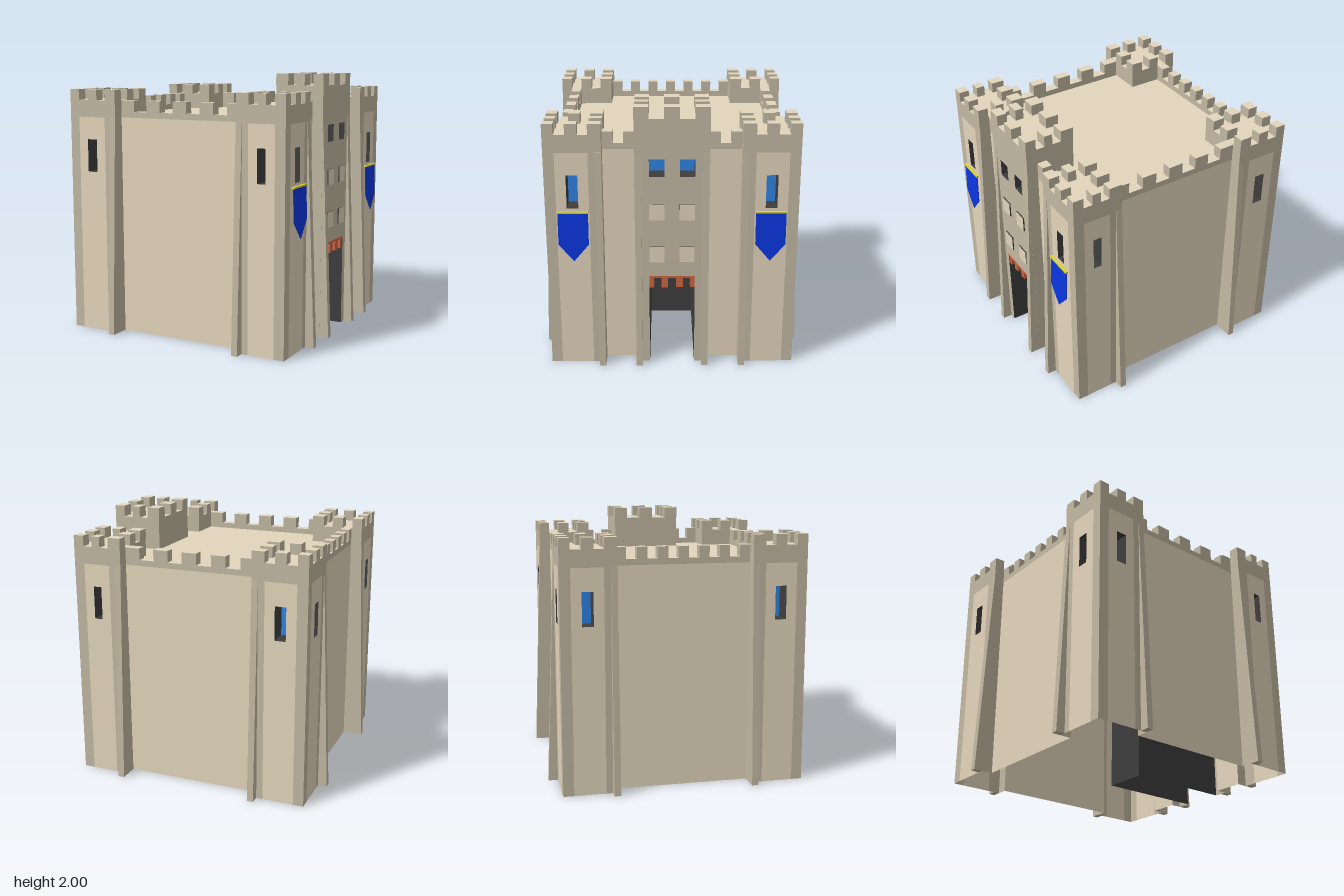
import * as THREE from 'three';

const mat = (color) => new THREE.MeshStandardMaterial({ color, side: THREE.DoubleSide, flatShading: true });

export function createModel() {
  const stone = mat(0xe3d5bb), trim = mat(0xc2b8a2), dark = mat(0x3d3d3d), sky = mat(0x3082e2);
  const rust = mat(0xcc6542), blue = mat(0x0c36e0), gold = mat(0xdcd236);
  const topped = [trim, trim, stone, stone, trim, trim];
  const castle = new THREE.Group();
  castle.name = 'castle';

  const add = (parent, name, geometry, material) => {
    const mesh = new THREE.Mesh(geometry, material);
    mesh.name = name;
    parent.add(mesh);
    return mesh;
  };
  // Box given by its limits on each axis
  const block = (parent, name, [x0, x1], [y0, y1], [z0, z1], material) => {
    const g = new THREE.BoxGeometry(x1 - x0, y1 - y0, z1 - z0);
    g.translate((x0 + x1) / 2, (y0 + y1) / 2, (z0 + z1) / 2);
    return add(parent, name, g, material);
  };
  // Flat polygon at depth d, with optional rectangular holes [u0, u1, v0, v1]
  const corners = ([u0, u1, v0, v1]) => [[u0, v0], [u1, v0], [u1, v1], [u0, v1]].map((p) => new THREE.Vector2(...p));
  const sheet = (parent, name, points, d, material, holes = []) => {
    const shape = new THREE.Shape(points);
    holes.forEach((h) => shape.holes.push(new THREE.Path(corners(h).reverse())));
    return add(parent, name, new THREE.ShapeGeometry(shape).translate(0, 0, d), material);
  };
  // Recess lined with dark walls; faces listed in skip are left open
  const recess = (parent, name, [u0, u1, v0, v1], d0, d1, skip) => {
    const g = new THREE.BoxGeometry(u1 - u0, v1 - v0, d1 - d0);
    const index = Array.from(g.index.array).filter((_, i) => !skip.includes(Math.floor(i / 6)));
    g.clearGroups();
    g.setIndex(index);
    g.translate((u0 + u1) / 2, (v0 + v1) / 2, (d0 + d1) / 2);
    add(parent, name, g, dark);
  };
  const windowNiche = (parent, rect, d) => {
    recess(parent, 'windowNiche', rect, d - 0.145, d, [4, 5]);
    sheet(parent, 'windowPane', corners(rect), d - 0.145, sky);
  };

  const OUT = 0.915, WALL = 0.83, ROOF = 1.67;

  // Side wall of a projecting tower, joining it to the curtain wall
  const returnWall = (parent, u, top) => {
    const g = new THREE.PlaneGeometry(OUT - WALL, top).rotateY(u < 0 ? Math.PI / 2 : -Math.PI / 2);
    add(parent, 'towerReturn', g.translate(u, top / 2, (OUT + WALL) / 2), trim);
  };
  // Tapered buttress between u0 and u1
  const buttress = (parent, u0, u1) => {
    const s = new THREE.Shape([[0, 0], [0.07, 0], [0.001, ROOF], [0, ROOF]].map((p) => new THREE.Vector2(...p)));
    const g = new THREE.ExtrudeGeometry(s, { depth: u1 - u0, bevelEnabled: false });
    g.rotateY(-Math.PI / 2).translate(u1, 0, OUT);
    add(parent, 'buttress', g, trim);
  };
  // Outer face of a corner tower: trim frame, panel and window
  const towerFace = (parent, inner, sign) => {
    const o = OUT * sign, i = inner * sign, po = 0.835 * sign, pi = (inner + 0.097) * sign;
    const frame = [[o, 0], [o, 1.8], [i, 1.8], [i, 0], [pi, 0], [pi, ROOF], [po, ROOF], [po, 0]];
    sheet(parent, 'towerFrame', frame.map((p) => new THREE.Vector2(...p)), OUT, trim);
    const mid = (po + pi) / 2, half = 0.042 - (inner - 0.5) / 3;
    const win = [mid - half, mid + half, 1.25, 1.5];
    const [a, b] = [Math.min(po, pi), Math.max(po, pi)];
    sheet(parent, 'towerPanel', corners([a, b, 0, ROOF]), OUT, stone, [win]);
    windowNiche(parent, win, OUT);
    returnWall(parent, i, 1.8);
    buttress(parent, Math.min(i, i + 0.048 * sign), Math.max(i, i + 0.048 * sign));
  };
  // Curtain wall with parapet and merlons
  const curtain = (parent, u0, u1, cells) => {
    sheet(parent, 'curtainWall', corners([u0, u1, 0, ROOF]), WALL, stone);
    block(parent, 'parapet', [u0, u1], [ROOF, 1.714], [0.755, WALL], topped);
    const step = (u1 - u0) / cells;
    for (let i = 0; i < cells; i += 2) {
      block(parent, 'merlon', [u0 + i * step, u0 + (i + 1) * step], [1.714, 1.8], [0.755, WALL], topped);
    }
  };

  // Four sides: front, right, back, left; each lists inner tower edges and wall runs
  const sides = [
    ['frontSide', 0.5, 0.53, [[-0.5, 0.53, 9]]],
    ['rightSide', 0.5, 0.5, [[-0.5, -0.27, 3], [0.27, 0.5, 3]]],
    ['backSide', 0.53, 0.5, [[-0.53, 0.5, 9]]],
    ['leftSide', 0.5, 0.5, [[-0.5, 0.5, 13]]],
  ].map(([name, innerA, innerB, runs], k) => {
    const side = new THREE.Group();
    side.name = name;
    side.rotation.y = k * Math.PI / 2;
    castle.add(side);
    towerFace(side, innerA, -1);
    towerFace(side, innerB, 1);
    runs.forEach((r) => curtain(side, ...r));
    return side;
  });

  // Roof deck
  add(castle, 'roof', new THREE.PlaneGeometry(1.65, 1.65).rotateX(-Math.PI / 2).translate(0, ROOF, 0), stone);

  // Tower heads with a ring of merlons around a flat top
  const towerHead = (name, xs, zs, top, height) => {
    const head = new THREE.Group();
    head.name = name;
    castle.add(head);
    const e = 0.002;
    block(head, 'towerTop', [xs[0][0] + e, xs[2][1] - e], [ROOF - 0.01, top], [zs[0][0] + e, zs[2][1] - e], topped);
    xs.forEach((x, i) => zs.forEach((z, j) => {
      if (i !== 1 || j !== 1) block(head, 'merlon', x, [top, height], z, topped);
    }));
  };
  const flip = (list) => list.map(([a, b]) => [-b, -a]).reverse();
  const wide = [[0.5, 0.595], [0.67, 0.755], [0.835, OUT]];
  const narrow = [[0.53, 0.63], [0.7, 0.765], [0.835, OUT]];
  for (const xs of [flip(wide), narrow]) {
    for (const zs of [flip(wide), wide]) towerHead('cornerTowerHead', xs, zs, 1.8, 1.88);
  }
  towerHead('gateTowerHead', narrow, [[-0.27, -0.165], [-0.055, 0.055], [0.165, 0.27]], 1.915, 2);

  // Gate tower on the right side
  const gate = new THREE.Group();
  gate.name = 'gateTower';
  sides[1].add(gate);
  const upper = [[-0.165, -0.055, 1.49, 1.62], [0.055, 0.165, 1.49, 1.62]];
  const outline = [[-0.27, 0], [-0.168, 0], [-0.168, 0.7], [0.168, 0.7], [0.168, 0], [0.27, 0], [0.27, 1.915], [-0.27, 1.915]];
  sheet(gate, 'gateFace', outline.map((p) => new THREE.Vector2(...p)), OUT, trim, upper);
  upper.forEach((w) => windowNiche(gate, w, OUT));
  recess(gate, 'gatePassage', [-0.168, 0.168, 0, 0.7], 0.08, OUT, [3, 4]);
  for (const s of [-1, 1]) {
    returnWall(gate, 0.27 * s, 1.915);
    buttress(gate, s * 0.245 - 0.024, s * 0.245 + 0.024);
    // Blind windows with dark edges
    for (const y of [0.83, 1.16]) {
      block(gate, 'blindWindow', [s * 0.11 - 0.055, s * 0.11 + 0.055], [y, y + 0.122], [OUT - 0.01, OUT + 0.01],
        [dark, dark, dark, dark, stone, dark]);
    }
  }

  // Raised portcullis: lintel bar and teeth
  block(gate, 'portcullisBar', [-0.168, 0.168], [0.698, 0.714], [OUT - 0.06, OUT + 0.002], rust);
  for (const [a, b] of [[-0.168, -0.133], [-0.08, -0.03], [0.03, 0.08], [0.133, 0.168]]) {
    block(gate, 'portcullisTooth', [a, b], [0.62, 0.7], [OUT - 0.06, OUT - 0.005], rust);
  }

  // Banners hanging from rods on the two towers beside the gate
  for (const s of [-1, 1]) {
    const banner = new THREE.Group();
    banner.name = 'banner';
    banner.position.set(0.715 * s, 1.225, 0.932);
    sides[1].add(banner);
    const cloth = [[-0.11, 0], [-0.11, -0.245], [0, -0.375], [0.11, -0.245], [0.11, 0]];
    const g = new THREE.ExtrudeGeometry(new THREE.Shape(cloth.map((p) => new THREE.Vector2(...p))), { depth: 0.005, bevelEnabled: false });
    add(banner, 'cloth', g, blue).rotation.x = -0.03;
    block(banner, 'rod', [-0.112, 0.112], [-0.006, 0.007], [-0.01, 0.012], gold);
  }
  return castle;
}
